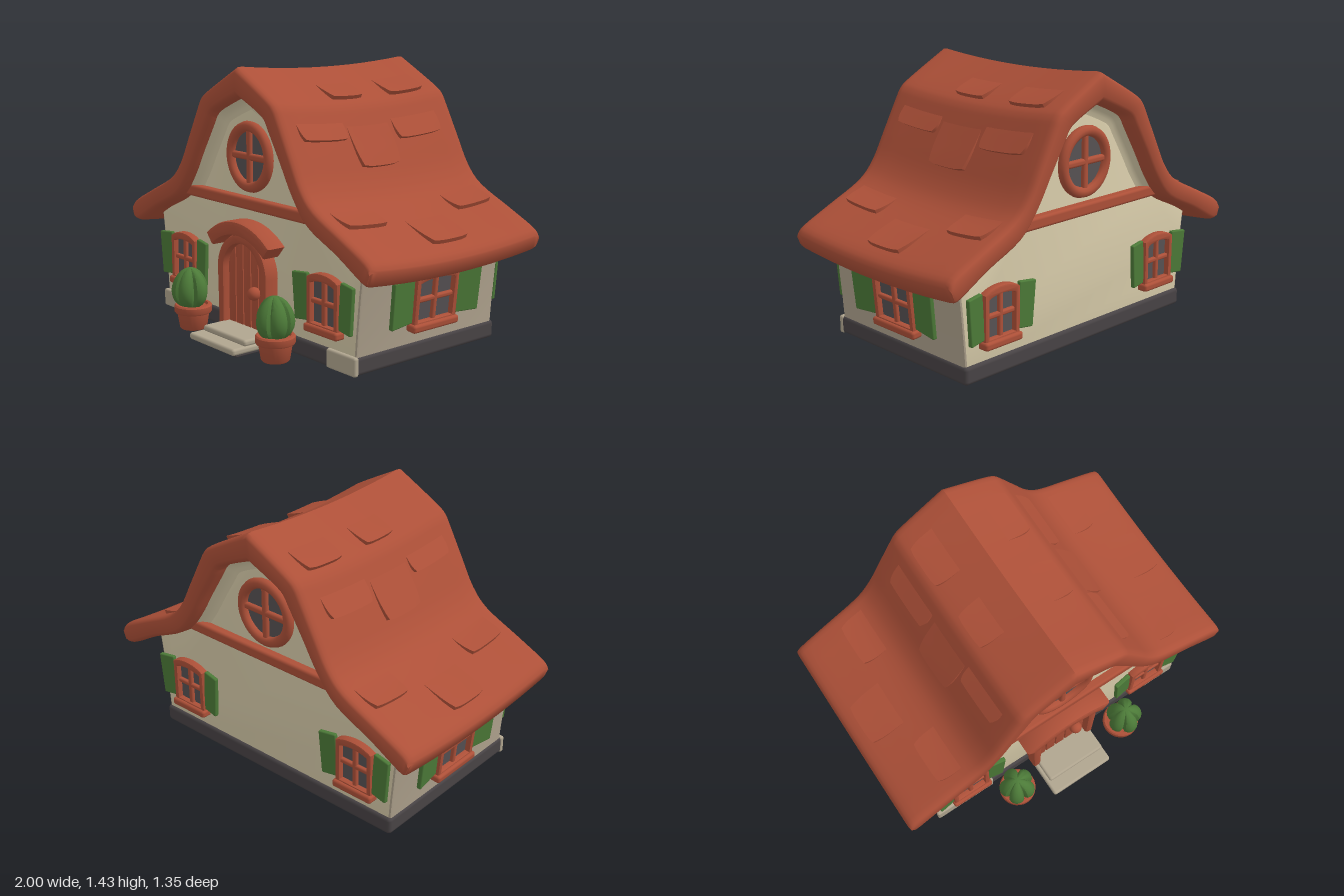
import * as THREE from 'three';
import { toCreasedNormals } from 'three/addons/utils/BufferGeometryUtils.js';
import { RoundedBoxGeometry } from 'three/addons/geometries/RoundedBoxGeometry.js';

const mat = (name, color) => Object.assign(new THREE.MeshStandardMaterial({ color }), { name });
const V = (x, y) => new THREE.Vector2(x, y);
const Z0 = -0.675, Z1 = 0.505;

// Half profiles of the roof, ridge to eave
const outer = new THREE.SplineCurve([V(0, 1.432), V(0.15, 1.352), V(0.27, 1.285), V(0.312, 1.25), V(0.345, 1.195), V(0.43, 1.035),
  V(0.51, 0.89), V(0.605, 0.797), V(0.8, 0.702), V(0.965, 0.622), V(1, 0.575)]).getPoints(40);
const inner = new THREE.SplineCurve([V(0, 1.28), V(0.11, 1.235), V(0.195, 1.195), V(0.228, 1.165), V(0.252, 1.125), V(0.34, 0.985),
  V(0.435, 0.83), V(0.55, 0.7), V(0.76, 0.6), V(0.93, 0.505), V(0.972, 0.505)]).getPoints(40);

// The roof sags towards the middle of its length
const sag = (z) => {
  const t = (2 * z - Z0 - Z1) / (Z1 - Z0);
  return -0.033 * (1 - t * t);
};

const bothSides = (half) => [...half.slice(1).reverse().map((p) => V(-p.x, p.y)), ...half];

function meshGeometry(pos, idx, crease) {
  const g = new THREE.BufferGeometry();
  g.setAttribute('position', new THREE.Float32BufferAttribute(pos, 3));
  g.setIndex(idx);
  return toCreasedNormals(g, crease);
}

function roofGeometry() {
  const top = bothSides(outer), low = bothSides(inner), n = top.length, N = 2 * n;
  // Cross-sections along z; the insets round off both ends
  const ends = [[0, 0.2], [0.008, 0.1], [0.022, 0.03], [0.045, 0]];
  const sections = ends.map(([d, inset]) => [Z0 + d, inset]);
  for (let i = 1; i < 12; i++) sections.push([Z0 + 0.045 + (Z1 - Z0 - 0.09) * i / 12, 0]);
  for (const [d, inset] of [...ends].reverse()) sections.push([Z1 - d, inset]);
  const pos = [], idx = [];
  for (const [z, inset] of sections) {
    const a = top.map((p, i) => p.clone().lerp(low[i], inset));
    const b = low.map((p, i) => p.clone().lerp(top[i], inset)).reverse();
    for (const p of [...a, ...b]) pos.push(p.x, p.y + sag(z), z);
  }
  const last = (sections.length - 1) * N;
  for (let k = 0; k < last; k += N) {
    for (let i = 0; i < N; i++) {
      const j = (i + 1) % N;
      idx.push(k + i, k + N + i, k + j, k + N + i, k + N + j, k + j);
    }
  }
  for (let i = 0; i < n - 1; i++) {
    const o = i, p = i + 1, q = N - 2 - i, r = N - 1 - i;
    idx.push(last + r, last + q, last + p, last + r, last + p, last + o);
    idx.push(p, q, r, o, p, r);
  }
  return meshGeometry(pos, idx, 0.85);
}

// Plaster curving out from the gable wall to meet the roof
function coveGeometry() {
  const line = bothSides(inner.filter((p) => p.x < 0.56)), n = line.length, pos = [], idx = [];
  const rows = [[1.03, 0.075], [0.985, 0.04], [0.95, 0.018], [0.91, 0.006], [0.86, -0.002]];
  for (const [s, z] of rows) for (const p of line) pos.push(p.x * s, 0.72 + (p.y - 0.72) * s, z);
  for (let k = 0; k < rows.length - 1; k++) {
    for (let i = k * n; i < k * n + n - 1; i++) idx.push(i + n, i + n + 1, i + 1, i + n, i + 1, i);
  }
  return meshGeometry(pos, idx, 0.9);
}

// Raised tile that follows the roof slope and is thickest at its lower edge
function tileGeometry(side, x0, x1, z0, z1) {
  const at = (x) => {
    const i = Math.max(1, outer.findIndex((p) => p.x >= x)), a = outer[i - 1], b = outer[i];
    const d = b.clone().sub(a).normalize();
    return { p: a.clone().lerp(b, (x - a.x) / (b.x - a.x)), n: V(-d.y, d.x) };
  };
  const g = new THREE.BoxGeometry(1, 1, 1, 8, 1, 6), P = g.attributes.position;
  for (let i = 0; i < P.count; i++) {
    const u = 0.5 + side * P.getX(i), w = P.getZ(i) * (1 - 0.12 * u ** 5);
    const z = (z0 + z1) / 2 + w * (z1 - z0);
    const { p, n } = at(x0 + (x1 - x0) * u * (1 - 0.06 * (2 * w) ** 4));
    const lift = P.getY(i) > 0 ? -0.004 + 0.026 * u : -0.02;
    P.setXYZ(i, side * (p.x + n.x * lift), p.y + n.y * lift + sag(z), z);
  }
  return toCreasedNormals(g, 0.6);
}

// Arched outline; c = 1 gives a round arch, smaller c a flat one
function arch(Type, hw, y0, y1, rise, c) {
  const s = new Type();
  s.moveTo(-hw, y0);
  s.lineTo(hw, y0);
  s.lineTo(hw, y1);
  s.bezierCurveTo(hw * c, y1 + rise * 4 / 3, -hw * c, y1 + rise * 4 / 3, -hw, y1);
  s.closePath();
  return s;
}

function extrude(shape, depth, bevel = 0.008) {
  const g = new THREE.ExtrudeGeometry(shape, { depth: depth - 2 * bevel, curveSegments: 16, bevelEnabled: bevel > 0,
    bevelSize: bevel, bevelThickness: bevel, bevelOffset: -bevel, bevelSegments: 2 });
  g.translate(0, 0, bevel);
  return toCreasedNormals(g, 0.6);
}

export function createModel() {
  const clay = mat('terracotta', 0xad5038), cream = mat('cream plaster', 0xd8ccaa), green = mat('leaf green', 0x4c7a38);
  const dark = mat('dark stone', 0x484345), stone = mat('pale stone', 0xb0a58f), glass = mat('window glass', 0x575254);
  const taupe = mat('taupe plaster', 0xb0a38e);
  const model = new THREE.Group();
  model.name = 'cottage';

  const add = (parent, name, geo, m, x = 0, y = 0, z = 0) => {
    const mesh = new THREE.Mesh(geo, m);
    mesh.name = name;
    mesh.position.set(x, y, z);
    parent.add(mesh);
    return mesh;
  };
  const box = (parent, name, m, w, h, d, x, y, z, r = 0.01) =>
    add(parent, name, new RoundedBoxGeometry(w, h, d, 2, Math.min(r, w / 2.1, h / 2.1, d / 2.1)), m, x, y, z);
  const group = (parent, name) => {
    const g = new THREE.Group();
    g.name = name;
    parent.add(g);
    return g;
  };

  // Walls with cream gable ends and taupe sides, flaring slightly upwards
  const wallHalf = [V(0, 1.31), V(0.2, 1.225), V(0.27, 1.15), V(0.36, 1.01), V(0.46, 0.85), V(0.56, 0.735),
    V(0.74, 0.65), V(0.85, 0.595), V(0.825, 0.4), V(0.808, 0.22), V(0.795, 0.05)];
  add(model, 'walls', extrude(new THREE.Shape(bothSides(wallHalf)), 0.945, 0.012), [cream, taupe], 0, 0, -0.545);

  // Foundation with pale stones at the front corners
  box(model, 'foundation', dark, 1.615, 0.095, 0.975, 0, 0.06, -0.072, 0.02);
  box(model, 'cornerStoneRight', stone, 0.37, 0.097, 0.03, -0.627, 0.0605, 0.408, 0.012);
  box(model, 'cornerStoneLeft', stone, 0.21, 0.097, 0.03, 0.707, 0.0605, 0.408, 0.012);

  // Roof and its raised tiles
  add(model, 'roof', roofGeometry(), clay);
  const tiles = [[0.12, 0.268, -0.12, 0.1], [0.12, 0.274, -0.55, -0.29], [0.345, 0.398, 0.1, 0.4], [0.345, 0.468, -0.2, 0.08],
    [0.345, 0.41, -0.55, -0.23], [0.6, 0.75, 0.15, 0.42], [0.7, 0.92, -0.23, 0.03], [0.58, 0.735, -0.6, -0.34]];
  for (const side of [-1, 1]) for (const t of tiles) add(model, 'roofTile', tileGeometry(side, ...t), clay);

  // Gable cove, beam and round window, on front and back
  for (const [face, z, turn] of [['front', 0.4, 0], ['back', -0.545, Math.PI]]) {
    const gable = group(model, face + 'Gable');
    gable.position.z = z;
    gable.rotation.y = turn;
    add(gable, 'gableCove', coveGeometry(), cream);
    box(gable, 'gableBeam', clay, 1.12, 0.062, 0.07, 0, 0.729, 0.01, 0.015);
    const pane = add(gable, 'roundPane', new THREE.CylinderGeometry(0.16, 0.16, 0.009, 40), glass, 0, 0.968, 0.003);
    pane.rotation.x = Math.PI / 2;
    add(gable, 'roundFrame', new THREE.TorusGeometry(0.156, 0.028, 10, 40), clay, 0, 0.968, 0.012);
    box(gable, 'roundBarUpright', clay, 0.036, 0.3, 0.036, 0, 0.968, 0.01, 0.014);
    box(gable, 'roundBarAcross', clay, 0.3, 0.036, 0.036, 0, 0.968, 0.01, 0.014);
  }

  // Shuttered windows
  function shutteredWindow(name, x, z, turn, tilt, hw, shutterW, lean) {
    const g = group(model, name);
    g.position.set(x, 0.2, z);
    g.rotation.set(tilt, turn, 0, 'YXZ');
    const frame = arch(THREE.Shape, hw, 0, 0.245, 0.03, 0.5);
    frame.holes.push(arch(THREE.Path, hw - 0.028, 0.02, 0.218, 0.016, 0.5));
    add(g, 'windowFrame', extrude(frame, 0.05), clay, 0, 0, -0.01);
    add(g, 'windowPane', extrude(arch(THREE.Shape, hw - 0.015, 0.01, 0.228, 0.016, 0.5), 0.008, 0), glass, 0, 0, 0.002);
    box(g, 'windowBarUpright', clay, 0.028, 0.23, 0.034, 0, 0.125, 0.012);
    box(g, 'windowBarAcross', clay, 2 * hw - 0.03, 0.026, 0.034, 0, 0.128, 0.012);
    box(g, 'windowSill', clay, 2.16 * hw, 0.042, 0.07, 0, -0.008, 0.02, 0.014);
    for (const s of [-1, 1]) {
      const shutter = box(g, 'shutter', green, shutterW, 0.24, 0.025, s * (hw + shutterW / 2), 0.135, 0.022, 0.007);
      shutter.rotation.set(0, -s * 0.14, -s * lean);
    }
  }
  for (const s of [-1, 1]) {
    shutteredWindow('frontWindow', s * 0.588, 0.4, 0, 0, 0.114, 0.1, 0.08);
    shutteredWindow('backWindow', s * 0.588, -0.545, Math.PI, 0, 0.114, 0.1, 0.08);
    shutteredWindow('sideWindow', s * 0.806, -0.08, s * Math.PI / 2, 0.1, 0.146, 0.158, 0.02);
  }

  // Arched door with planks, knob and canopy
  const door = group(model, 'door');
  add(door, 'doorBacking', extrude(arch(THREE.Shape, 0.18, 0.05, 0.37, 0.17, 1), 0.03, 0), clay, 0, 0, 0.39);
  const surround = new THREE.Shape([V(0.155, 0.05), V(0.2, 0.05), V(0.208, 0.37)]);
  surround.absellipse(0, 0.37, 0.208, 0.2, 0, Math.PI, false);
  surround.lineTo(-0.2, 0.05);
  surround.lineTo(-0.155, 0.05);
  surround.lineTo(-0.155, 0.37);
  surround.absellipse(0, 0.37, 0.155, 0.15, Math.PI, 0, true);
  add(door, 'doorSurround', extrude(surround, 0.09, 0.014), clay, 0, 0, 0.39);
  for (let i = 0; i < 5; i++) {
    const a = -0.16 + i * 0.064 + 0.003, b = a + 0.058;
    const topAt = (x) => 0.38 + 0.15 * Math.sqrt(Math.max(0, 1 - (x / 0.165) ** 2));
    const plank = new THREE.Shape([V(a, 0.06), V(b, 0.06), V(b, topAt(b)), V((a + b) / 2, topAt((a + b) / 2)), V(a, topAt(a))]);
    add(door, 'doorPlank', extrude(plank, 0.04, 0.005), clay, 0, 0, 0.4);
  }
  add(door, 'doorKnob', new THREE.SphereGeometry(0.035, 20, 14), clay, 0.085, 0.275, 0.46);
  const canopy = new THREE.Shape();
  canopy.absarc(0, 0.235, 0.408, Math.PI / 2 - 0.71, Math.PI / 2 + 0.71, false);
  canopy.absarc(0, 0.235, 0.332, Math.PI / 2 + 0.71, Math.PI / 2 - 0.71, true);
  add(door, 'doorCanopy', extrude(canopy, 0.12, 0.018), clay, 0, 0, 0.39);

  // Door steps
  const steps = group(model, 'steps');
  box(steps, 'stepBase', dark, 0.37, 0.02, 0.42, 0, 0.01, 0.44, 0.006);
  box(steps, 'lowerStep', stone, 0.385, 0.036, 0.275, 0, 0.03, 0.538, 0.014);
  box(steps, 'upperStep', stone, 0.36, 0.034, 0.2, 0.008, 0.062, 0.5, 0.014);

  // Potted cacti
  const potGeo = toCreasedNormals(new THREE.LatheGeometry([V(0, 0.008), V(0.066, 0.008), V(0.073, 0.016), V(0.086, 0.095),
    V(0.096, 0.097), V(0.101, 0.105), V(0.101, 0.134), V(0.094, 0.142), V(0.08, 0.142), V(0.075, 0.128), V(0, 0.128)], 28), 0.6);
  const cactus = new THREE.SphereGeometry(1, 40, 20), C = cactus.attributes.position;
  for (let i = 0; i < C.count; i++) {
    const x = C.getX(i), y = C.getY(i), z = C.getZ(i);
    const r = 0.1 * (1 - 0.14 * y) * (0.66 + 0.34 * Math.sqrt(Math.abs(Math.cos(2.5 * Math.atan2(z, x)))));
    C.setXYZ(i, x * r, y * 0.113, z * r);
  }
  const cactusGeo = toCreasedNormals(cactus, 0.7);
  for (const s of [-1, 1]) {
    const plant = group(model, s > 0 ? 'leftPlant' : 'rightPlant');
    plant.position.set(s * 0.355, 0, 0.535);
    add(plant, 'pot', potGeo, clay);
    add(plant, 'cactus', cactusGeo, green, s * 0.008, 0.228, 0.01).rotation.y = s * 0.3 + 0.6;
  }
  return model;
}
